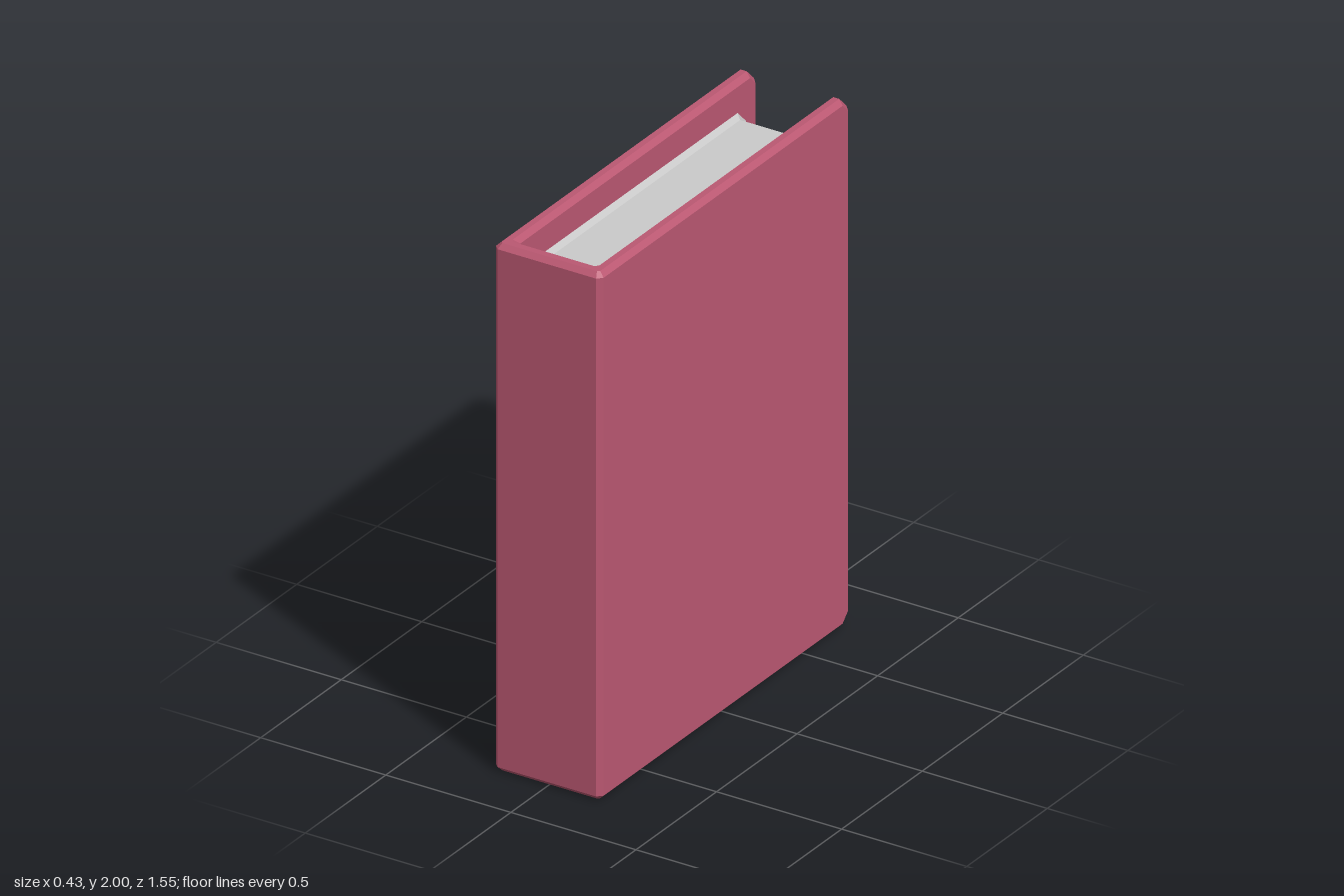
import * as THREE from 'three';

// Flat-shaded surface through rows of points
function addGrid(out, rows) {
  for (let i = 0; i < rows.length - 1; i++) {
    for (let j = 0; j < rows[i].length - 1; j++) {
      const a = rows[i][j], b = rows[i][j + 1], c = rows[i + 1][j + 1], d = rows[i + 1][j];
      out.push(...a, ...b, ...c, ...a, ...c, ...d);
    }
  }
}

function makeMesh(name, positions, color) {
  const geometry = new THREE.BufferGeometry();
  geometry.setAttribute('position', new THREE.Float32BufferAttribute(positions, 3));
  geometry.computeVertexNormals();
  const mesh = new THREE.Mesh(geometry, new THREE.MeshStandardMaterial({ color, flatShading: true }));
  mesh.name = name;
  return mesh;
}

// Bevelled U-shaped cover: two boards joined by the spine
function createCover() {
  // Each station: outer face, outer rim, inner rim, inner face as [x, z];
  // then half heights of the faces and of the rim
  const half = [
    { p: [[0.215, -0.759], [0.197, -0.777], [0.173, -0.777], [0.155, -0.759]], face: 0.948, rim: 0.955 },
    { p: [[0.215, -0.725], [0.197, -0.732], [0.173, -0.732], [0.155, -0.725]], face: 0.982, rim: 1 },
    { p: [[0.215, 0.759], [0.197, 0.751], [0.173, 0.72], [0.155, 0.7]], face: 0.982, rim: 1 },
    { p: [[0.197, 0.777], [0.189, 0.759], [0.16, 0.733], [0.14, 0.715]], face: 0.982, rim: 1 },
  ];
  const ring = ({ p, face, rim }, side) => {
    const h = [face, rim, rim, face];
    const at = (k, up) => [side * p[k][0], 1 + up * h[k], p[k][1]];
    return [at(0, -1), at(0, 1), at(1, 1), at(2, 1), at(3, 1), at(3, -1), at(2, -1), at(1, -1), at(0, -1)];
  };
  const rings = [...half.map(s => ring(s, 1)), ...half.slice().reverse().map(s => ring(s, -1))];
  const out = [];
  addGrid(out, rings);
  // Closed fore edges of both boards
  const pairs = [[0, 1], [7, 2], [6, 3], [5, 4]];
  const last = rings[rings.length - 1];
  addGrid(out, pairs.map(([a, b]) => [rings[0][b], rings[0][a]]));
  addGrid(out, pairs.map(([a, b]) => [last[a], last[b]]));
  return makeMesh('cover', out, 0xbb5872);
}

// Page block with chamfered rear corners, flaring slightly to meet the cover
function createPages() {
  // Each point: block z and half height, then flare z and half height
  const top = [
    [0.715, 0.885, 0.715, 0.885],
    [0.692, 0.865, 0.692, 0.885],
    [-0.64, 0.865, -0.648, 0.885],
    [-0.682, 0.823, -0.702, 0.831],
  ];
  const row = ([z, h, fz, fh], up) => [
    [-0.156, 1 + up * fh, fz], [-0.14, 1 + up * h, z],
    [0.14, 1 + up * h, z], [0.156, 1 + up * fh, fz],
  ];
  const out = [];
  addGrid(out, [...top.map(p => row(p, 1)), ...top.slice().reverse().map(p => row(p, -1))]);
  return makeMesh('pages', out, 0xcccccc);
}

export function createModel() {
  const book = new THREE.Group();
  book.name = 'book';
  book.add(createCover(), createPages());
  return book;
}
